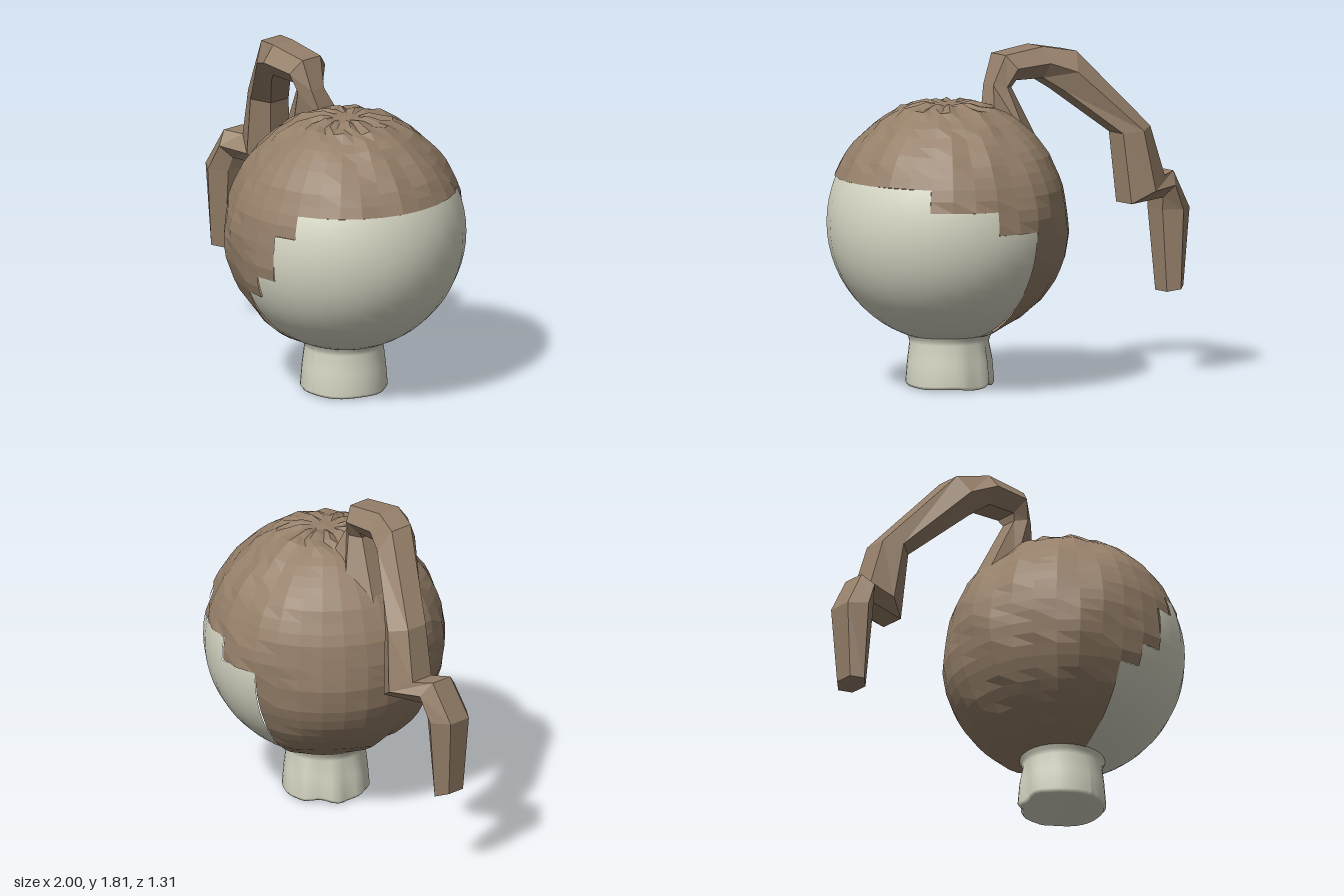
import * as THREE from 'three';
import { mergeGeometries } from 'three/addons/utils/BufferGeometryUtils.js';

const R = 0.65, STEP = Math.PI / 16;
const CENTER = new THREE.Vector3(0.35, 0.9, 0);

// Hairline per latitude band, in steps forward of the ear on each side: [+z side, -z side]
const hairline = { 6: [2, 4], 7: [1, 1], 8: [1, -1], 9: [0, -1] };

function band(k, from, to) {
  return new THREE.SphereGeometry(R, to - from, 1, from * STEP, (to - from) * STEP, k * STEP, STEP);
}

// Slightly uneven hair surface with a puckered crown
function roughen(geo) {
  const p = geo.attributes.position, v = new THREE.Vector3();
  for (let i = 0; i < p.count; i++) {
    v.fromBufferAttribute(p, i);
    const row = Math.round(Math.acos(THREE.MathUtils.clamp(v.y / R, -1, 1)) / STEP);
    const col = Math.round(Math.atan2(v.z, v.x) / STEP + 32) % 32;
    let d = 0.001 + 0.009 * Math.sin(col * col * 2.9 + row * 7.3);
    if (row === 0) d = -0.012;
    if (row === 1) d = 0.004 + 0.011 * Math.sin(col * 2.4);
    if (row === 2) d = 0.014 + 0.01 * Math.sin(col * 1.9);
    if (row === 3) d += 0.008;
    if (row > 13) d = 0.002;
    v.setLength(R + d);
    p.setXYZ(i, v.x, v.y, v.z);
  }
  geo.computeVertexNormals();
  return geo;
}

// Ponytail: each section is [outer x, y, inner x, y, centre z, half width]
function ponytailGeometry() {
  const sections = [
    [0.15, 1.45, -0.22, 1.17, -0.09, 0.13],
    [0.1, 1.62, -0.02, 1.6, -0.03, 0.09],
    [0.04, 1.78, -0.03, 1.64, -0.04, 0.13],
    [-0.2, 1.81, -0.2, 1.64, -0.05, 0.14],
    [-0.37, 1.78, -0.29, 1.57, -0.12, 0.14],
    [-0.71, 1.37, -0.53, 1.34, -0.33, 0.13],
    [-0.78, 1.1, -0.56, 0.96, -0.36, 0.14],
    [-0.88, 1.11, -0.81, 0.97, -0.31, 0.13],
    [-1.0, 0.9, -0.82, 0.9, -0.29, 0.135],
    [-0.97, 0.48, -0.86, 0.45, -0.29, 0.105],
  ];
  const N = 6, pos = [], index = [];
  for (const [ox, oy, ix, iy, z, w] of sections) {
    for (let k = 0; k < N; k++) {
      const a = ((k + 0.5) / N) * Math.PI * 2, c = Math.cos(a) / Math.sqrt(3);
      pos.push((ox + ix) / 2 + c * (ox - ix), (oy + iy) / 2 + c * (oy - iy), z + Math.sin(a) * w);
    }
  }
  for (let i = 0; i < sections.length - 1; i++) {
    for (let k = 0; k < N; k++) {
      const a = i * N + k, b = i * N + (k + 1) % N;
      index.push(a, a + N, b + N, a, b + N, b);
    }
  }
  const last = (sections.length - 1) * N;
  for (let k = 1; k < N - 1; k++) index.push(last, last + k + 1, last + k);
  const geo = new THREE.BufferGeometry();
  geo.setAttribute('position', new THREE.Float32BufferAttribute(pos, 3));
  geo.setIndex(index);
  geo.computeVertexNormals();
  return geo;
}

// Neck: smooth stump with soft folds on the nape
function neckGeometry() {
  const profile = [[0, 0.02], [0.16, 0.012], [0.222, 0.012], [0.235, 0.03], [0.225, 0.15], [0.213, 0.25], [0.22, 0.275], [0.24, 0.31]];
  const geo = new THREE.LatheGeometry(profile.map(([x, y]) => new THREE.Vector2(x, y)), 40);
  const p = geo.attributes.position;
  for (let i = 0; i < p.count; i++) {
    const x = p.getX(i), y = p.getY(i), z = p.getZ(i);
    const a = Math.atan2(z, x);
    const nape = Math.max(0, -Math.cos(a - 0.7)) * (y < 0.24 ? 1 : 0);
    const s = 1 + 0.05 * nape * Math.sin(a * 9);
    const dy = y < 0.1 && Math.hypot(x, z) > 0.1 ? 0.008 * Math.sin(a * 5) * (0.3 + nape) : 0;
    p.setXYZ(i, x * s, Math.max(0, y + dy), z * s);
  }
  geo.computeVertexNormals();
  return geo;
}

export function createModel() {
  const skin = new THREE.MeshStandardMaterial({ color: 0xd6d6c4 });
  skin.name = 'skin';
  const hair = new THREE.MeshStandardMaterial({ color: 0x957f69 });
  hair.name = 'hair';
  hair.flatShading = true;
  hair.side = THREE.DoubleSide;

  const model = new THREE.Group();
  model.name = 'headWithPonytail';
  const add = (name, geo, mat, x = 0, y = 0, z = 0) => {
    const mesh = new THREE.Mesh(geo, mat);
    mesh.name = name;
    mesh.position.set(x, y, z);
    model.add(mesh);
  };

  // Head: every latitude band is shared between hair and face
  const hairBands = [], skinBands = [];
  for (let k = 0; k < 16; k++) {
    if (k < 6) {
      hairBands.push(band(k, 0, 32));
      continue;
    }
    const [f, b] = hairline[k] || [-1, -1];
    hairBands.push(band(k, -8 - b, 8 + f));
    skinBands.push(band(k, 8 + f, 24 - b));
  }
  add('hairCap', roughen(mergeGeometries(hairBands)), hair, ...CENTER.toArray());
  add('face', mergeGeometries(skinBands), skin, ...CENTER.toArray());
  add('neck', neckGeometry(), skin, 0.34, 0, 0);
  add('ponytail', ponytailGeometry(), hair);
  return model;
}
